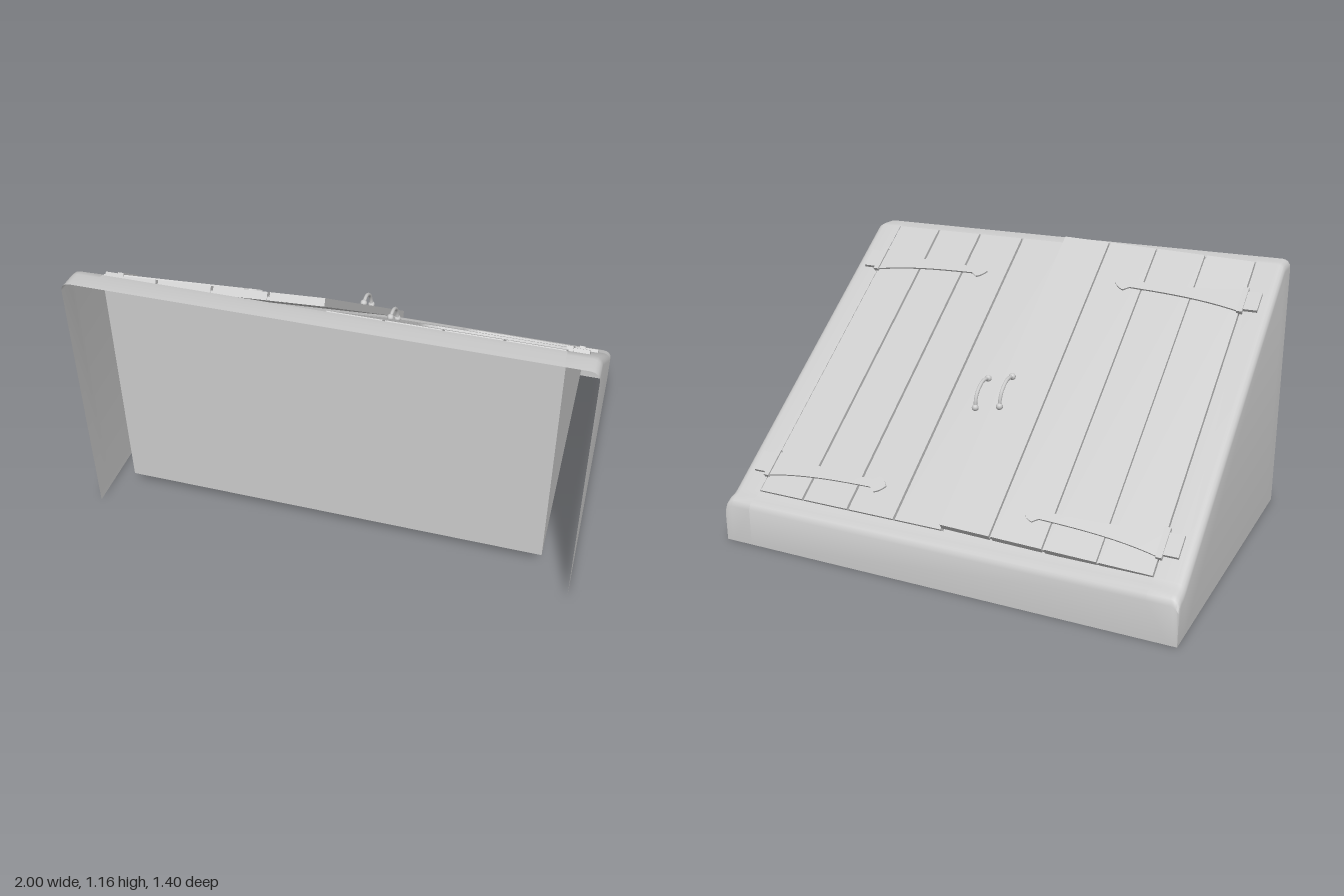
import * as THREE from 'three';
import { toCreasedNormals } from 'three/addons/utils/BufferGeometryUtils.js';

const solid = new THREE.MeshStandardMaterial({ color: 0xcccccc });
const thin = new THREE.MeshStandardMaterial({ color: 0xcccccc, side: THREE.DoubleSide });

const HALF = 0.875;          // half width of the door opening
const TOP = 0.605, LOW = -0.62; // z of the opening's high and low ends
const THICK = 0.03;
const slopeY = z => 0.2 + 0.74 * (z + 0.64);
const angle = Math.atan(0.74);

function add(parent, name, geometry, material = solid) {
  const mesh = new THREE.Mesh(geometry, material);
  mesh.name = name;
  parent.add(mesh);
  return mesh;
}

function box(parent, name, w, h, d, x, y, z) {
  const mesh = add(parent, name, new THREE.BoxGeometry(w, h, d));
  mesh.position.set(x, y, z);
  return mesh;
}

// Surface through rows of points, all rows of equal length
function sheet(rows) {
  const n = rows[0].length, index = [];
  for (let i = 0; i < rows.length - 1; i++) {
    for (let j = 0; j < n - 1; j++) {
      const a = i * n + j, b = a + n;
      index.push(a, b, a + 1, a + 1, b, b + 1);
    }
  }
  const g = new THREE.BufferGeometry();
  g.setAttribute('position', new THREE.Float32BufferAttribute(rows.flat(2), 3));
  g.setIndex(index);
  return toCreasedNormals(g, 0.55);
}

// Open shell: two side rails, a header and a footer around the opening
function buildFrame(root) {
  const frame = new THREE.Group();
  frame.name = 'frame';
  const header = [[0.7, 1.125], [0.63, 1.125], [TOP, slopeY(TOP)]];
  const footer = [[LOW, slopeY(LOW)], [-0.645, 0.2], [-0.67, 0.194], [-0.689, 0.182], [-0.7, 0.16], [-0.7, 0]];
  const r = 0.035;
  for (const s of [1, -1]) {
    const rows = [...header, ...footer].map(([z, h]) => {
      const row = [[s, 0, z]];
      for (let k = 0; k <= 4; k++) {
        const t = k / 4 * Math.PI / 2;
        row.push([s * (1 - r + r * Math.cos(t)), Math.max(0, h - r + r * Math.sin(t)), z]);
      }
      if (h === 0) row.forEach(p => { p[1] = 0; });
      row.push([s * HALF, h, z]);
      return row;
    });
    add(frame, s > 0 ? 'leftRail' : 'rightRail', sheet(rows), thin);
  }
  const across = profile => sheet(profile.map(([z, y]) => [[HALF, y, z], [-HALF, y, z]]));
  add(frame, 'header', across([...header, [TOP, slopeY(TOP) - THICK]]), thin);
  add(frame, 'footer', across([[LOW, slopeY(LOW) - THICK], ...footer]), thin);
  root.add(frame);
}

// Boxed well below the doors
function buildWell(root) {
  const shape = new THREE.Shape([
    [TOP, 0.1], [TOP, slopeY(TOP) - THICK], [LOW, slopeY(LOW) - THICK], [LOW, 0.1],
  ].map(([z, y]) => new THREE.Vector2(-z, y)));
  const g = new THREE.ExtrudeGeometry(shape, { depth: 2 * HALF, bevelEnabled: false });
  g.rotateY(Math.PI / 2).translate(-HALF, 0, 0);
  add(root, 'well', g);
}

// Strap hinge outline, flaring at the hinge and ending in a spade tip
function strapGeometry() {
  const s = new THREE.Shape();
  s.moveTo(0, -0.062);
  s.bezierCurveTo(0.16, -0.025, 0.32, -0.02, 0.5, -0.018);
  s.lineTo(0.525, -0.036);
  s.quadraticCurveTo(0.55, -0.03, 0.57, 0);
  s.quadraticCurveTo(0.55, 0.03, 0.525, 0.036);
  s.lineTo(0.5, 0.018);
  s.bezierCurveTo(0.32, 0.02, 0.16, 0.025, 0, 0.062);
  s.closePath();
  const g = new THREE.ExtrudeGeometry(s, { depth: 0.01, bevelEnabled: false, curveSegments: 10 });
  return g.rotateX(-Math.PI / 2);
}

function buildHandle(door, x) {
  const handle = new THREE.Group();
  handle.name = 'handle';
  const path = new THREE.CatmullRomCurve3(
    [[-0.075, 0.008], [-0.055, 0.03], [-0.025, 0.045], [0.025, 0.045], [0.055, 0.03], [0.075, 0.008]]
      .map(([z, y]) => new THREE.Vector3(0, y, z)));
  add(handle, 'grip', new THREE.TubeGeometry(path, 24, 0.008, 8));
  for (const z of [-0.077, 0.077]) {
    add(handle, 'foot', new THREE.SphereGeometry(0.015, 12, 8)).position.set(0, 0.008, z);
  }
  handle.position.set(x, 0.004, -0.11);
  door.add(handle);
}

// One plank door hung from its outer edge; side is +1 for the model's left
function buildDoor(slope, side, open, handleAt) {
  const length = (TOP - LOW) / Math.cos(angle) - 0.006;
  const door = new THREE.Group();
  door.name = side > 0 ? 'leftDoor' : 'rightDoor';
  door.position.x = side * HALF;
  door.rotation.z = -side * open;
  const pitch = HALF / 4;
  box(door, 'backing', HALF - 0.012, 0.014, length - 0.01, -side * HALF / 2, -0.02, 0);
  for (let i = 0; i < 4; i++) {
    box(door, 'plank', pitch - 0.01, 0.03, length, -side * pitch * (i + 0.5), -0.011, 0);
  }
  buildHandle(door, -side * handleAt);

  for (const z of [-0.625, 0.54]) {
    const strap = add(door, 'hingeStrap', strapGeometry());
    strap.position.set(side * 0.008, 0.002, z);
    if (side > 0) strap.rotation.y = Math.PI;
    // Leaf and knuckle stay on the frame
    box(slope, 'hingeLeaf', 0.06, 0.024, 0.095, side * 0.915, 0.002, z);
    box(slope, 'hingeKnuckle', 0.024, 0.034, 0.13, side * 0.874, 0.002, z);
  }
  slope.add(door);
}

export function createModel() {
  const root = new THREE.Group();
  root.name = 'cellarEntrance';
  buildFrame(root);
  buildWell(root);

  // Doors lie in a tilted frame whose local y is the slope's normal
  const slope = new THREE.Group();
  slope.name = 'doors';
  const mid = (TOP + LOW) / 2;
  slope.position.set(0, slopeY(mid), mid);
  slope.rotation.x = -angle;
  buildDoor(slope, 1, 0, 0.795);
  buildDoor(slope, -1, 0.05, 0.832);
  root.add(slope);
  return root;
}
